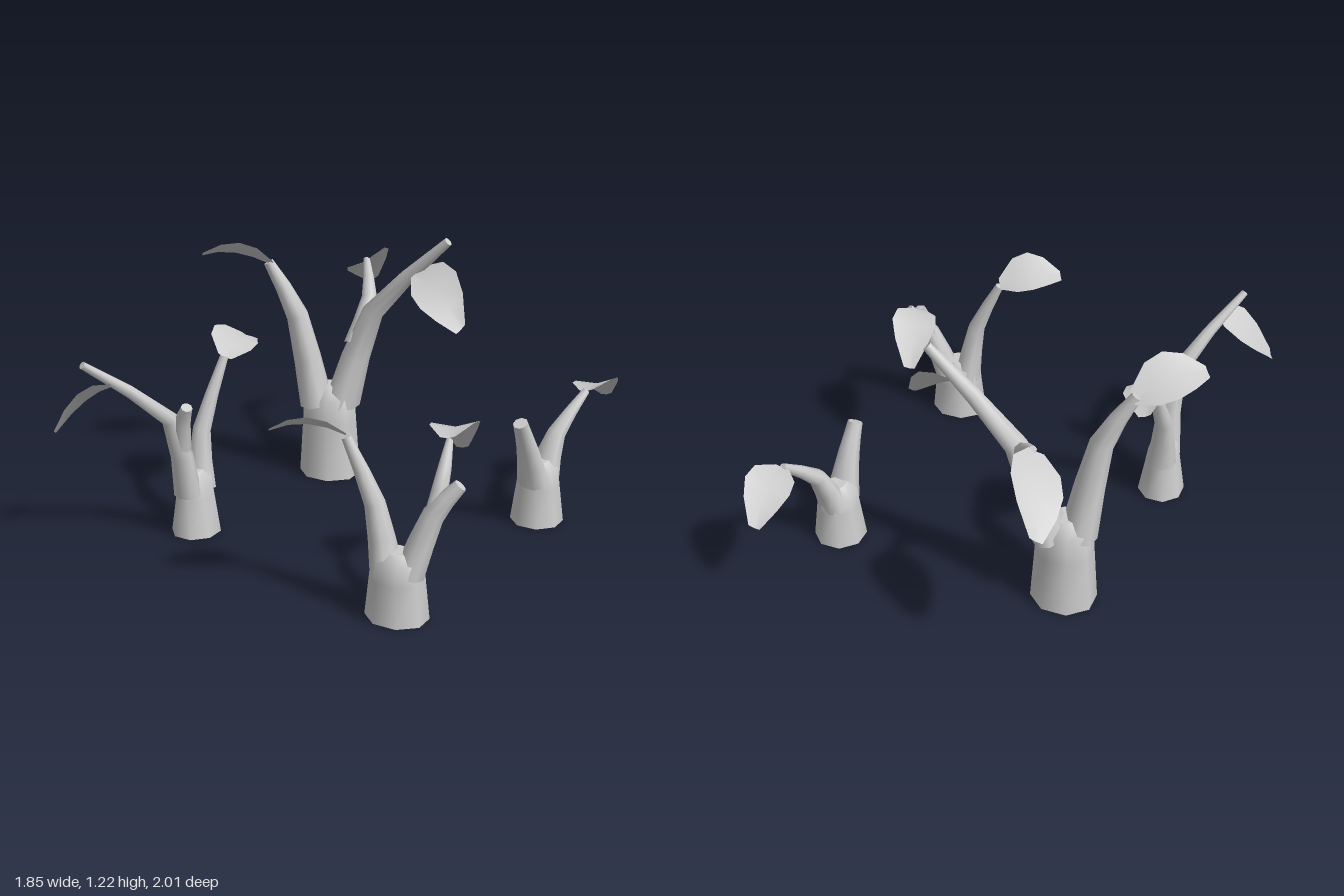
import * as THREE from 'three';

const SIDES = 8;
const material = new THREE.MeshStandardMaterial({ color: 0xcccccc, side: THREE.DoubleSide });

function buildMesh(name, positions, index) {
  const geometry = new THREE.BufferGeometry();
  geometry.setAttribute('position', new THREE.Float32BufferAttribute(positions, 3));
  geometry.setIndex(index);
  geometry.computeVertexNormals();
  const mesh = new THREE.Mesh(geometry, material);
  mesh.name = name;
  return mesh;
}

// Skin over elliptical rings { point, side radius, other radius }, open below and capped at the tip
function limb(name, rings) {
  const last = rings.length - 1;
  const run = rings[last].point.clone().sub(rings[0].point);
  const side = new THREE.Vector3(run.z, 0, -run.x);
  if (side.length() < 1e-4) side.set(1, 0, 0);
  side.normalize();
  const positions = [], index = [];

  const addRing = i => {
    const { point, wide, deep } = rings[i];
    const tangent = rings[Math.min(i + 1, last)].point.clone().sub(rings[Math.max(i - 1, 0)].point);
    const other = tangent.cross(side).normalize();
    for (let k = 0; k < SIDES; k++) {
      const a = (k + 0.5) / SIDES * Math.PI * 2;
      const p = point.clone()
        .addScaledVector(side, wide * Math.cos(a))
        .addScaledVector(other, deep * Math.sin(a));
      positions.push(p.x, p.y, p.z);
    }
  };

  for (let i = 0; i <= last; i++) addRing(i);
  for (let i = 0; i < last; i++) {
    for (let k = 0; k < SIDES; k++) {
      const a = i * SIDES + k, b = i * SIDES + (k + 1) % SIDES;
      index.push(a, b, b + SIDES, a, b + SIDES, a + SIDES);
    }
  }
  // Separate ring for a crisp end cap
  const cap = positions.length / 3;
  addRing(last);
  positions.push(...rings[last].point.toArray());
  for (let k = 0; k < SIDES; k++) index.push(cap + k, cap + (k + 1) % SIDES, cap + SIDES);
  return buildMesh(name, positions, index);
}

// Upright trunk narrowing from its base radii to its top radii, closing at the fork
function trunk(x, z, height, [baseX, baseZ], [topX, topZ]) {
  const ring = (t, taper, scale) => ({
    point: new THREE.Vector3(x, height * t, z),
    wide: THREE.MathUtils.lerp(baseX, topX, taper) * scale,
    deep: THREE.MathUtils.lerp(baseZ, topZ, taper) * scale,
  });
  return limb('trunk', [ring(0, 0, 1), ring(0.6, 0.7, 1), ring(0.88, 1, 1), ring(1, 1, 0.5)]);
}

// Tapered branch along a curve; spread widens its root so that it blends into the trunk
function branch(path, rootRadius, tipRadius, spread = 1) {
  const curve = new THREE.CatmullRomCurve3(path.map(p => new THREE.Vector3(...p)), false, 'catmullrom', 0.35);
  const steps = (path.length - 1) * 2;
  const rings = [];
  for (let i = 0; i <= steps; i++) {
    const t = i / steps;
    const radius = THREE.MathUtils.lerp(rootRadius, tipRadius, t);
    rings.push({ point: curve.getPoint(t), wide: radius * (1 + (spread - 1) * (1 - t) ** 2), deep: radius });
  }
  return limb('branch', rings);
}

// Arched, lightly cupped blade from base to tip; roll lifts one edge and lowers the other
function leaf(base, tip, roll, bow = 0.045) {
  const a = new THREE.Vector3(...base), b = new THREE.Vector3(...tip);
  const along = b.clone().sub(a);
  const half = new THREE.Vector3(along.z, 0, -along.x).setLength(0.102);
  half.y = roll;
  const up = half.clone().cross(along).normalize();
  if (up.y < 0) up.negate();
  const positions = [], index = [];
  [0.3, 0.9, 1, 0.75, 0.25].forEach((w, i) => {
    const t = i / 4;
    const mid = a.clone().lerp(b, t);
    mid.y += bow * 4 * t * (1 - t);
    for (const e of [-1, 0, 1]) {
      const p = mid.clone().addScaledVector(half, e * w).addScaledVector(up, (Math.abs(e) - 0.5) * 0.02 * w);
      positions.push(p.x, p.y, p.z);
    }
    if (i === 0) return;
    for (let j = 0; j < 2; j++) {
      const q = (i - 1) * 3 + j;
      index.push(q, q + 1, q + 4, q, q + 4, q + 3);
    }
  });
  return buildMesh('leaf', positions, index);
}

function plant(name, ...parts) {
  const group = new THREE.Group();
  group.name = name;
  group.add(...parts);
  return group;
}

// Tallest plant: three branches, three leaves
const tallPlant = () => plant('tallPlant',
  trunk(-0.385, -0.4, 0.45, [0.15, 0.135], [0.122, 0.12]),
  branch([[-0.44, 0.36, -0.37], [-0.505, 0.8, -0.31], [-0.635, 1.05, -0.27]], 0.08, 0.024, 1.4),
  branch([[-0.33, 0.36, -0.43], [-0.19, 0.82, -0.475], [0.2, 1.21, -0.47]], 0.08, 0.021, 1.4),
  branch([[-0.27, 0.66, -0.46], [-0.25, 0.86, -0.55], [-0.35, 1, -0.7]], 0.06, 0.017),
  leaf([-0.62, 1.04, -0.28], [-0.87, 1.1, -0.07], 0.05),
  leaf([0.05, 1.05, -0.45], [0.345, 0.86, -0.32], 0.07),
  leaf([-0.36, 0.99, -0.69], [-0.48, 0.81, -1], -0.06));

// Slim plant: leaning branch with a stub, and a short branch behind
const frontRightPlant = () => plant('frontRightPlant',
  trunk(-0.555, 0.485, 0.29, [0.11, 0.115], [0.066, 0.102]),
  branch([[-0.555, 0.2, 0.54], [-0.56, 0.58, 0.64], [-0.77, 0.88, 0.945]], 0.058, 0.017, 1.3),
  branch([[-0.545, 0.42, 0.59], [-0.51, 0.57, 0.62], [-0.47, 0.65, 0.64]], 0.045, 0.025),
  branch([[-0.56, 0.2, 0.43], [-0.575, 0.45, 0.39], [-0.53, 0.76, 0.265]], 0.062, 0.02, 1.2),
  leaf([-0.53, 0.755, 0.26], [-0.6, 0.77, -0.02], 0.035),
  leaf([-0.7, 0.77, 0.84], [-0.92, 0.56, 0.965], 0.05));

// Forked plant: long branch, and a stub carrying a twig
const frontLeftPlant = () => plant('frontLeftPlant',
  trunk(0.612, 0.755, 0.29, [0.135, 0.115], [0.107, 0.1]),
  branch([[0.565, 0.2, 0.76], [0.52, 0.48, 0.775], [0.4, 0.74, 0.79]], 0.064, 0.02, 1.4),
  branch([[0.66, 0.2, 0.74], [0.74, 0.45, 0.7], [0.835, 0.58, 0.66]], 0.064, 0.028, 1.4),
  branch([[0.74, 0.45, 0.69], [0.745, 0.62, 0.62], [0.71, 0.69, 0.51]], 0.04, 0.015),
  leaf([0.4, 0.75, 0.79], [0.14, 0.77, 0.94], 0.045),
  leaf([0.7, 0.7, 0.51], [0.635, 0.55, 0.235], -0.015, 0.08));

// Smallest plant: stub in front, leafy branch behind
const backLeftPlant = () => plant('backLeftPlant',
  trunk(0.72, -0.38, 0.29, [0.12, 0.12], [0.085, 0.102]),
  branch([[0.72, 0.2, -0.33], [0.71, 0.38, -0.27], [0.7, 0.52, -0.205]], 0.058, 0.034, 1.4),
  branch([[0.725, 0.2, -0.42], [0.755, 0.39, -0.49], [0.82, 0.55, -0.66]], 0.062, 0.018, 1.4),
  leaf([0.82, 0.55, -0.66], [0.81, 0.44, -0.95], -0.025, 0.055));

export function createModel() {
  const model = new THREE.Group();
  model.name = 'plantCluster';
  model.add(tallPlant(), frontRightPlant(), frontLeftPlant(), backLeftPlant());
  return model;
}
